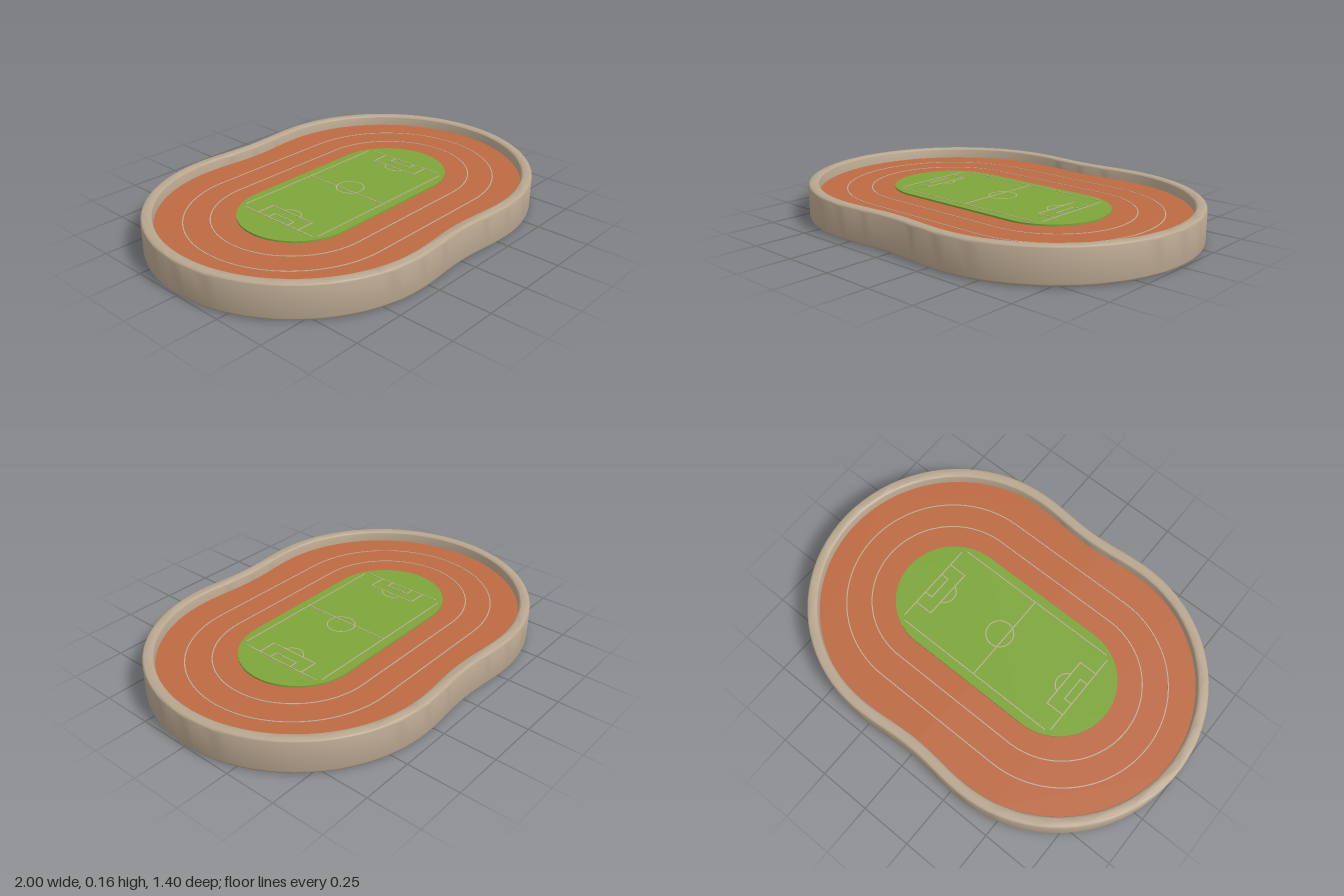
import * as THREE from 'three';
import { toCreasedNormals } from 'three/addons/utils/BufferGeometryUtils.js';

const mat = (name, color) => {
  const m = new THREE.MeshStandardMaterial({ color });
  m.name = name;
  return m;
};

// Outer plan: two round ends joined by gently pinched sides, inset by `off`.
function pinchedOutline(off) {
  const c = 0.3, r = 0.7 - off, pts = [];
  for (const s of [1, -1]) {
    for (let i = 0; i <= 40; i++) {
      const a = -Math.PI / 2 + (Math.PI * i) / 40;
      pts.push(new THREE.Vector2(s * (c + r * Math.cos(a)), s * r * Math.sin(a)));
    }
    for (let i = 1; i < 16; i++) {
      const x = c - (2 * c * i) / 16;
      pts.push(new THREE.Vector2(s * x, s * (r - 0.009 * (1 + Math.cos((Math.PI * x) / c)))));
    }
  }
  return pts;
}

// Straight-sided plan with semicircular ends.
function stadium(c, r) {
  const s = new THREE.Shape();
  s.moveTo(-c, -r);
  s.lineTo(c, -r);
  s.absarc(c, 0, r, -Math.PI / 2, Math.PI / 2);
  s.lineTo(-c, r);
  s.absarc(-c, 0, r, Math.PI / 2, Math.PI * 1.5);
  return s;
}

// Upright slab from a plan shape, its base at height y.
function slab(shape, y, depth, bevel = 0) {
  const g = new THREE.ExtrudeGeometry(shape, {
    depth: depth - 2 * bevel, curveSegments: 32, bevelEnabled: bevel > 0,
    bevelSize: bevel, bevelThickness: bevel, bevelOffset: -bevel, bevelSegments: 4,
  });
  g.rotateX(-Math.PI / 2);
  g.translate(0, y + bevel, 0);
  return toCreasedNormals(g, 0.6);
}

export function createModel() {
  const model = new THREE.Group();
  model.name = 'stadium';
  const stone = mat('stone', 0xb8a68f);
  const clay = mat('clay', 0xbd6a43);
  const grass = mat('grass', 0x7da53a);
  const paint = mat('linePaint', 0xbcae98);

  const add = (name, geo, material, parent = model) => {
    const mesh = new THREE.Mesh(geo, material);
    mesh.name = name;
    parent.add(mesh);
    return mesh;
  };

  // Surrounding wall with rounded rims
  const wall = new THREE.Shape(pinchedOutline(0));
  wall.holes.push(new THREE.Path(pinchedOutline(0.052)));
  add('wall', slab(wall, 0, 0.165, 0.014), stone);

  // Running track floor and the field on it
  const top = 0.115, bottom = 0.045;
  add('track', slab(new THREE.Shape(pinchedOutline(0.035)), bottom, top - bottom), clay);
  add('field', slab(stadium(0.315, 0.275), top, 0.008), grass);
  add('fieldUnderside', slab(stadium(0.31, 0.2), bottom - 0.004, 0.004), grass);

  // Lane lines above and below
  const lane = (name, c, r, y) => {
    const s = stadium(c, r);
    s.holes.push(stadium(c, r - 0.005));
    add(name, slab(s, y, 0.002), paint);
  };
  for (const r of [0.5, 0.38]) {
    lane('laneLine', 0.33, r, top);
    lane('laneLineUnderside', 0.33, r, bottom - 0.002);
  }
  lane('outerLineUnderside', 0.31, 0.6, bottom - 0.002);

  // Field markings
  const marks = new THREE.Group();
  marks.name = 'fieldMarkings';
  marks.position.y = top + 0.009;
  model.add(marks);
  const w = 0.005;
  const line = (name, x0, z0, x1, z1) => {
    const g = new THREE.BoxGeometry(Math.abs(x1 - x0) + w, 0.002, Math.abs(z1 - z0) + w);
    add(name, g, paint, marks).position.set((x0 + x1) / 2, 0, (z0 + z1) / 2);
  };
  const arc = (name, x, r, start, sweep) => {
    const g = new THREE.RingGeometry(r - w, r, 40, 1, start, sweep);
    g.rotateX(-Math.PI / 2);
    add(name, g, paint, marks).position.set(x, 0.001, 0);
  };
  line('halfwayLine', 0, -0.23, 0, 0.23);
  arc('centreCircle', 0.03, 0.068, 0, Math.PI * 2);
  for (const s of [1, -1]) {
    line('sideLine', -0.42, s * 0.23, 0.42, s * 0.23);
    line('goalLine', s * 0.44, -0.21, s * 0.44, 0.21);
    line('boxFront', s * 0.35, -0.125, s * 0.35, 0.125);
    line('goalAreaFront', s * 0.4, -0.06, s * 0.4, 0.06);
    for (const t of [1, -1]) {
      line('boxSide', s * 0.35, t * 0.125, s * 0.44, t * 0.125);
      line('goalAreaSide', s * 0.4, t * 0.06, s * 0.44, t * 0.06);
    }
    arc('boxArc', s * 0.37, 0.058, s > 0 ? Math.PI * 0.62 : -Math.PI * 0.38, Math.PI * 0.76);
  }
  return model;
}
